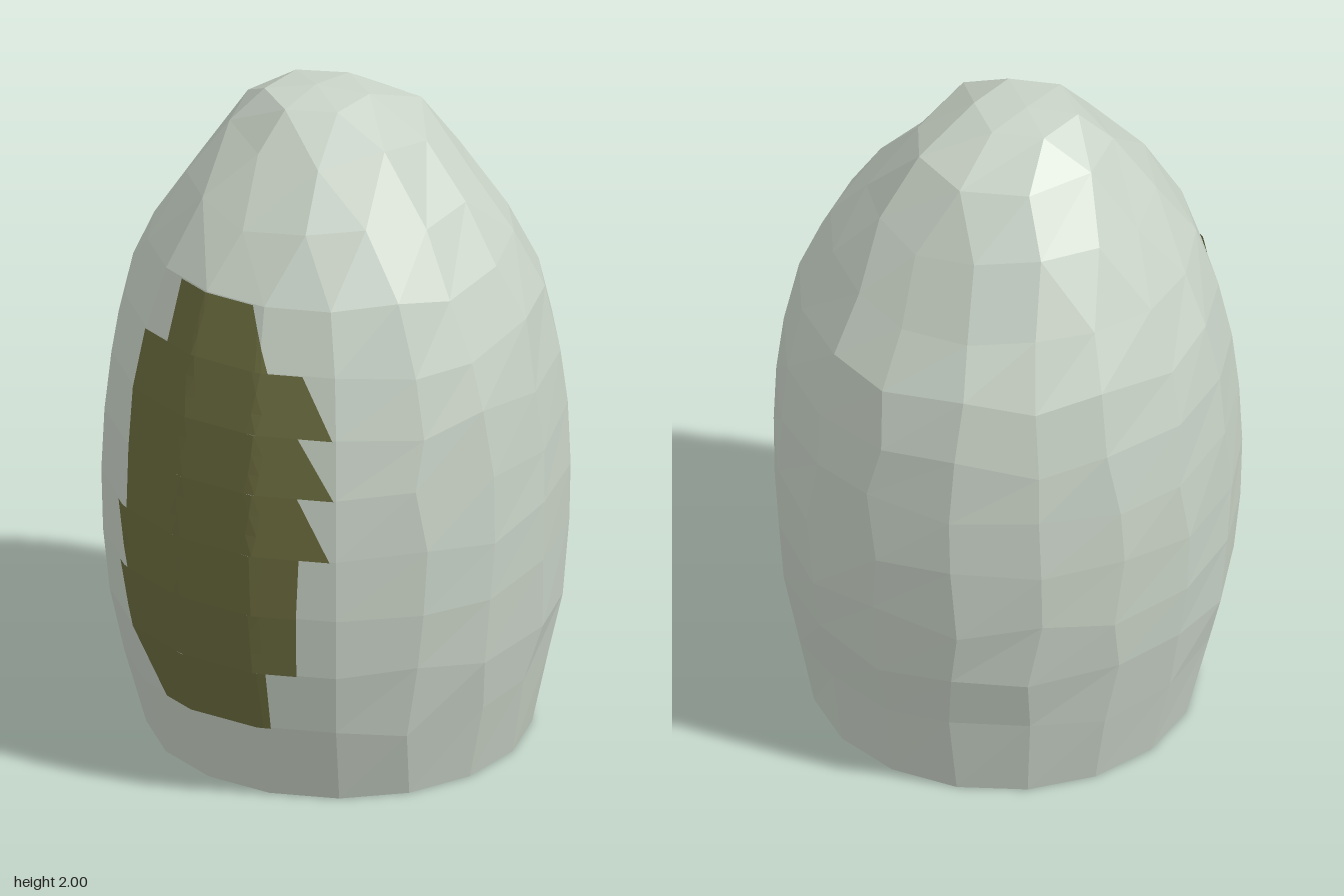
import * as THREE from 'three';

// Shell rings: [height, radius, centre x, centre z, corner count]
const RINGS = [
  [0, 0.55, 0, -0.015, 17], [0.24, 0.605, 0, 0, 17], [0.43, 0.645, 0, 0, 17],
  [0.62, 0.664, 0, 0, 17], [0.81, 0.669, 0, 0, 17], [1.0, 0.66, 0, 0, 17],
  [1.18, 0.64, 0, 0, 17], [1.36, 0.598, 0, 0.005, 17], [1.54, 0.522, 0, 0.025, 17],
  [1.72, 0.412, 0, 0.02, 14], [1.88, 0.285, -0.01, 0.015, 9], [1.985, 0.15, -0.03, 0.05, 6],
];
const STEP = (Math.PI * 2) / 17;

function seeded(seed) {
  return () => {
    seed = (seed * 16807) % 2147483647;
    return seed / 2147483647 - 0.5;
  };
}

// Corner points of each ring; corners away from the front are slightly uneven
function makeRings(thickness) {
  const rand = seeded(41);
  return RINGS.map(([y, r, cx, cz, n], row) => {
    const points = [];
    const inset = thickness * (row > 8 ? 0.85 : 1);
    for (let i = 0; i < n; i++) {
      let a = ((i + 0.5) / n) * Math.PI * 2;
      const uneven = row > 0 && row < 11 && (Math.sin(a) < 0.6 || row > 8);
      const da = rand() * 0.07, dy = rand() * 0.055;
      if (uneven) a += da;
      const py = Math.max(0, y + (uneven ? dy : 0) - thickness * (y / 2));
      points.push(new THREE.Vector3(cx + Math.cos(a) * (r - inset), py, cz + Math.sin(a) * (r - inset)));
    }
    return points;
  });
}

// Join two rings that may have different corner counts
function stitch(out, lower, upper, flip) {
  const n = lower.length, m = upper.length;
  const add = (a, b, c) => (flip ? out.push(a, c, b) : out.push(a, b, c));
  let i = 0, j = 0;
  while (i < n || j < m) {
    const p = lower[i % n], q = upper[j % m];
    if (j >= m || (i < n && (i + 1.5) / n <= (j + 1.5) / m)) {
      add(p, q, lower[(i + 1) % n]);
      i++;
    } else {
      add(p, q, upper[(j + 1) % m]);
      j++;
    }
  }
}

function shell(rings, apex, flip) {
  const out = [];
  for (let k = 0; k < rings.length - 1; k++) stitch(out, rings[k], rings[k + 1], flip);
  const top = rings[rings.length - 1];
  top.forEach((p, i) => {
    const next = top[(i + 1) % top.length];
    if (flip) out.push(p, next, apex);
    else out.push(p, apex, next);
  });
  return out;
}

function toMesh(name, points, material) {
  const geometry = new THREE.BufferGeometry().setFromPoints(points);
  geometry.computeVertexNormals();
  const mesh = new THREE.Mesh(geometry, material);
  mesh.name = name;
  return mesh;
}

// Depth of the faceted front at a given x and y
function frontZ(x, y) {
  let k = 0;
  while (k < 7 && RINGS[k + 1][0] < y) k++;
  const lo = RINGS[k], hi = RINGS[k + 1];
  const t = (y - lo[0]) / (hi[0] - lo[0]);
  const r = THREE.MathUtils.lerp(lo[1], hi[1], t);
  const cz = THREE.MathUtils.lerp(lo[3], hi[3], t);
  for (let i = 0; i < 8; i++) {
    const a = (i + 0.5) * STEP, b = a + STEP;
    const xa = r * Math.cos(a), xb = r * Math.cos(b);
    if (x <= xa && x >= xb) {
      return cz + r * THREE.MathUtils.lerp(Math.sin(a), Math.sin(b), (x - xa) / (xb - xa));
    }
  }
  return cz;
}

// Patch rows: [bottom y, top y, bottom left x, bottom right x, top left x, top right x]
const PATCH = [
  [0.24, 0.43, -0.165, 0.2, -0.28, 0.21],
  [0.43, 0.62, -0.28, 0.29, -0.335, 0.3],
  [0.62, 0.81, -0.285, 0.3, -0.34, 0.31],
  [0.81, 1.0, -0.285, 0.39, -0.285, 0.3],
  [1.0, 1.18, -0.285, 0.395, -0.285, 0.29],
  [1.18, 1.36, -0.285, 0.38, -0.265, 0.28],
  [1.36, 1.54, -0.165, 0.19, -0.155, 0.11],
];

function patchPoints() {
  const out = [], cols = 20, sub = 3;
  const lerp = THREE.MathUtils.lerp;
  for (const [y0, y1, bl, br, tl, tr] of PATCH) {
    const at = (u, v) => {
      const x = lerp(lerp(bl, br, u), lerp(tl, tr, u), v);
      const y = lerp(y0, y1, v);
      return new THREE.Vector3(x, y, frontZ(x, y) + 0.007);
    };
    for (let c = 0; c < cols; c++) {
      for (let s = 0; s < sub; s++) {
        const a = at(c / cols, s / sub), b = at((c + 1) / cols, s / sub);
        const d = at(c / cols, (s + 1) / sub), e = at((c + 1) / cols, (s + 1) / sub);
        out.push(a, b, e, a, e, d);
      }
    }
  }
  return out;
}

export function createModel() {
  const pale = new THREE.MeshStandardMaterial({ color: 0xc8d2c6, flatShading: true });
  pale.name = 'pale grey green';
  const olive = new THREE.MeshStandardMaterial({ color: 0x6a6b3e, flatShading: true, side: THREE.DoubleSide });
  olive.name = 'olive';
  const black = new THREE.MeshStandardMaterial({ color: 0x040404, flatShading: true });
  black.name = 'black';

  const group = new THREE.Group();
  group.name = 'hollowDome';
  const outer = makeRings(0), inner = makeRings(0.115);

  // Outer skin and hollow lining
  group.add(toMesh('outerShell', shell(outer, new THREE.Vector3(-0.04, 2, 0.04), false), pale));
  group.add(toMesh('innerLining', shell(inner, new THREE.Vector3(-0.04, 1.885, 0.04), true), pale));

  // Flat rim under the opening
  const rim = [];
  stitch(rim, inner[0], outer[0], false);
  group.add(toMesh('bottomRim', rim, black));

  // Jagged painted patch on the front
  group.add(toMesh('frontPatch', patchPoints(), olive));
  return group;
}
